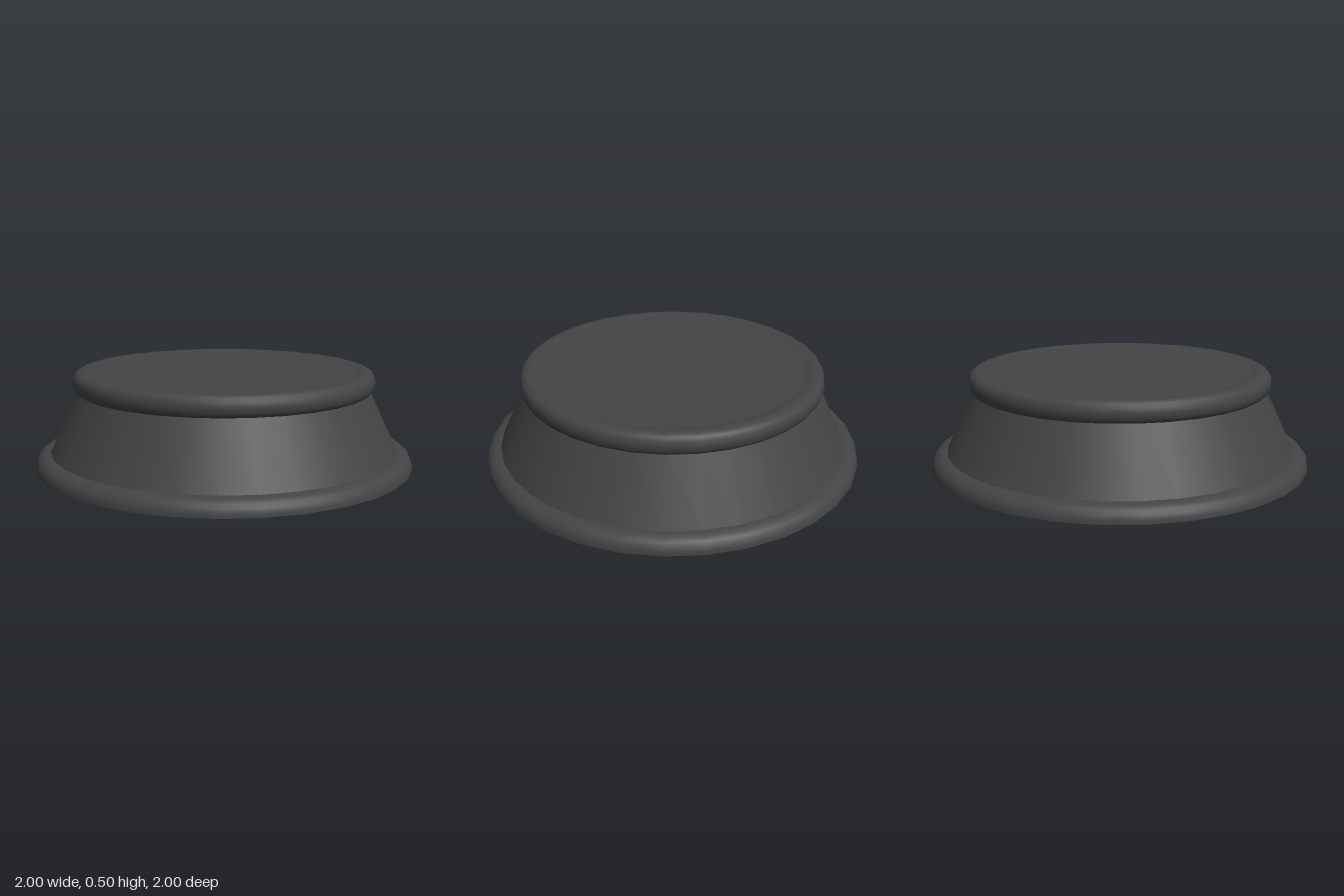
import * as THREE from 'three';

const SIDES = 32;

export function createModel() {
  const group = new THREE.Group();
  group.name = 'roundPedestal';

  const charcoal = new THREE.MeshStandardMaterial({ color: 0x444444 });
  charcoal.name = 'charcoal';

  // Each section is turned separately, which keeps the seams between them sharp
  function turned(name, profile) {
    const points = profile.map(([r, y]) => new THREE.Vector2(r, y));
    const mesh = new THREE.Mesh(new THREE.LatheGeometry(points, SIDES), charcoal);
    mesh.name = name;
    group.add(mesh);
  }

  // Flat underside
  turned('underside', [[0, 0], [1, 0]]);

  // Rounded foot ring
  turned('footRing', [
    [1, 0], [1, 0.02], [0.993, 0.042], [0.98, 0.06],
    [0.96, 0.073], [0.938, 0.079], [0.92, 0.08],
  ]);

  // Sloping body
  turned('body', [[0.92, 0.08], [0.772, 0.395]]);

  // Bulging rim
  turned('rim', [
    [0.765, 0.393], [0.782, 0.402], [0.793, 0.42], [0.797, 0.445],
    [0.793, 0.47], [0.782, 0.488], [0.764, 0.498], [0.745, 0.5],
    [0.72, 0.499], [0.7, 0.494],
  ]);

  // Flat top
  turned('topDisc', [[0.7, 0.494], [0, 0.494]]);

  return group;
}
